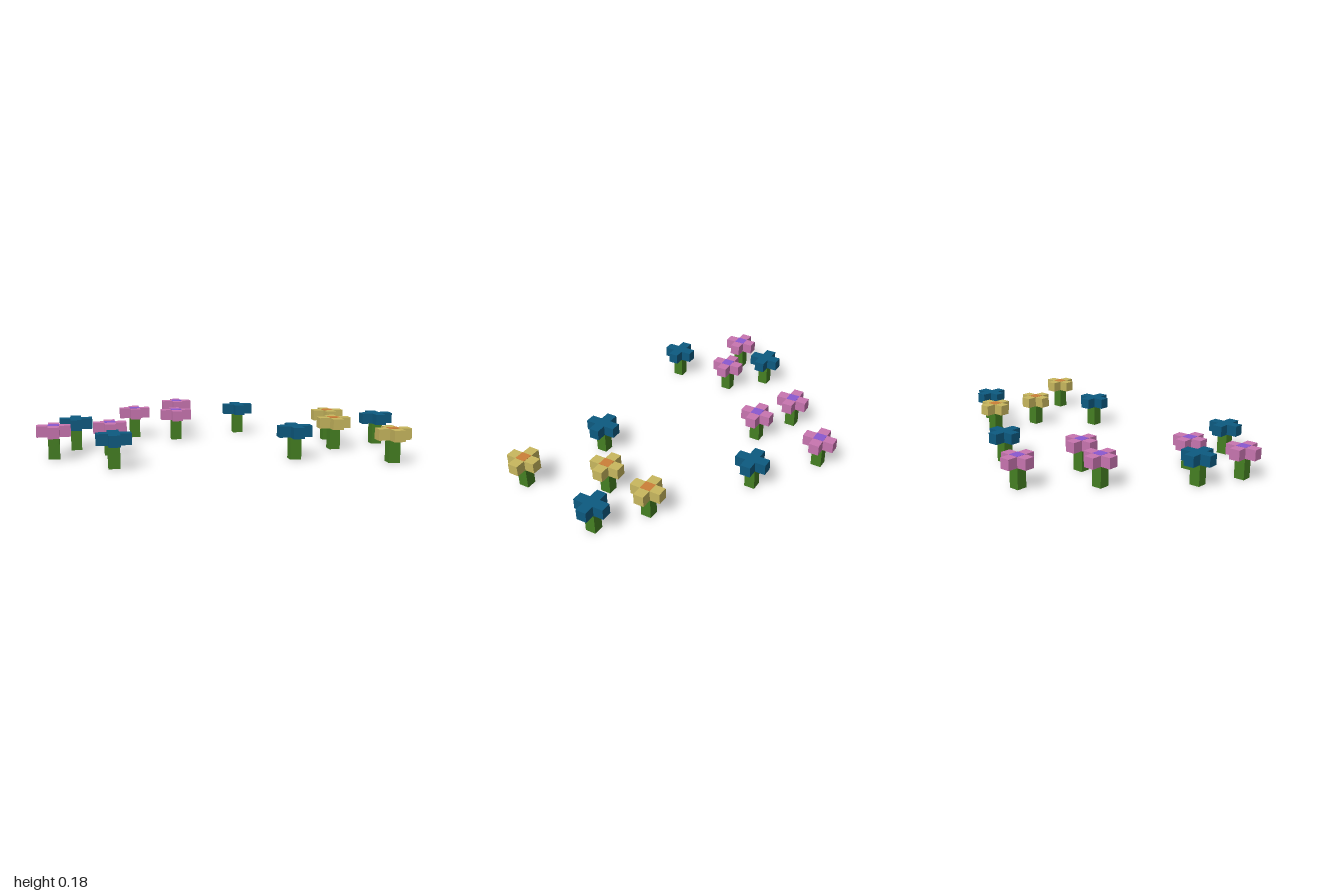
import * as THREE from 'three';

const U = 2 / 34; // one block

const material = (name, color) => {
  const m = new THREE.MeshStandardMaterial({ color });
  m.name = name;
  return m;
};

// Plus-shaped petal outline, one block thick, lying flat
function crossGeometry() {
  const a = U / 2, b = U * 1.5;
  const outline = [
    [a, a], [a, b], [-a, b], [-a, a], [-b, a], [-b, -a],
    [-a, -a], [-a, -b], [a, -b], [a, -a], [b, -a], [b, a],
  ].map(([x, y]) => new THREE.Vector2(x, y));
  return new THREE.ExtrudeGeometry(new THREE.Shape(outline), { depth: U, bevelEnabled: false })
    .rotateX(-Math.PI / 2);
}

export function createModel() {
  const model = new THREE.Group();
  model.name = 'flowerPatch';

  const green = material('stemGreen', 0x457f22);
  const stemGeometry = new THREE.BoxGeometry(U, 2 * U, U).translate(0, U, 0);
  const petalGeometry = crossGeometry().translate(0, 2 * U, 0);
  const heartGeometry = new THREE.BoxGeometry(U, 0.002, U).translate(0, 3 * U, 0);

  // Each kind: petal colour, optional heart colour, positions in blocks (x, z)
  const kinds = [
    {
      name: 'pinkFlower',
      petal: material('petalPink', 0xc875b0),
      heart: material('heartPurple', 0x8a58d0),
      spots: [[-2.5, -11], [-7.5, -6], [-3.5, -4], [-15.5, 4], [-10.5, 3]],
    },
    {
      name: 'blueFlower',
      petal: material('petalBlue', 0x0d5a80),
      spots: [[3.5, -7], [-13.5, 0], [-10.5, 9], [5.5, 8], [15.5, 2]],
    },
    {
      name: 'yellowFlower',
      petal: material('petalYellow', 0xc8b75e),
      heart: material('heartOrange', 0xcb7f38),
      spots: [[11.5, -1], [10.5, 4], [13.5, 11]],
    },
  ];

  for (const { name, petal, heart, spots } of kinds) {
    for (const [x, z] of spots) {
      const flower = new THREE.Group();
      flower.name = name;
      const add = (part, geometry, mat) => {
        const mesh = new THREE.Mesh(geometry, mat);
        mesh.name = part;
        flower.add(mesh);
      };
      add('stem', stemGeometry, green);
      add('petals', petalGeometry, petal);
      if (heart) add('heart', heartGeometry, heart);
      flower.position.set(x * U, 0, z * U);
      model.add(flower);
    }
  }
  return model;
}
